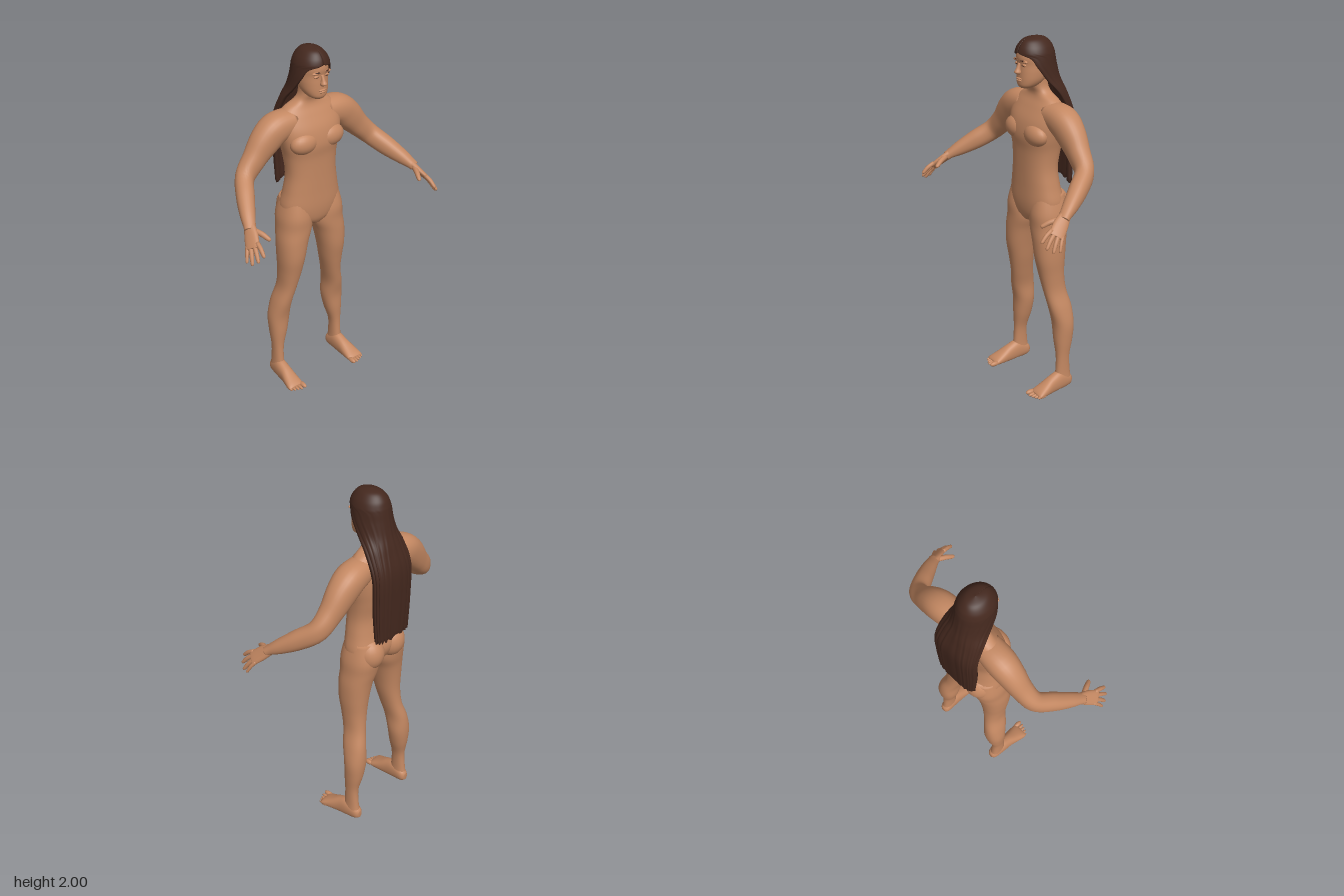
import * as THREE from 'three';

const skin = new THREE.MeshStandardMaterial({ color: 0xc48862, name: 'skin' });
const hairBrown = new THREE.MeshStandardMaterial({ color: 0x44281e, name: 'hair brown' });
const V = (x, y, z) => new THREE.Vector3(x, y, z);
const DOWN = V(0, -1, 0), X = V(1, 0, 0);
const pow = (v, p) => Math.sign(v) * Math.abs(v) ** p;
const mirror = (s, rows) => rows.map(([x, ...rest]) => [s * x, ...rest]);

function group(name, parts) {
  const g = new THREE.Group().add(...parts);
  g.name = name;
  return g;
}

// Smoothly resample rows of numbers
function resample(rows, steps) {
  const out = [], last = rows.length - 1;
  const spline = (a, b, c, d, t) => {
    const cubic = 3 * (b - c) + d - a;
    const square = 2 * a - 5 * b + 4 * c - d;
    return b + 0.5 * t * (c - a + t * (square + t * cubic));
  };
  for (let i = 0; i < last; i++) {
    const before = rows[Math.max(i - 1, 0)], after = rows[Math.min(i + 2, last)];
    for (let k = 0; k < steps; k++) {
      out.push(rows[i].map((b, j) => spline(before[j], b, rows[i + 1][j], after[j], k / steps)));
    }
  }
  return [...out, rows[last]];
}

// Join closed rings of points into one smooth skin
function surface(name, rings, material) {
  const n = rings[0].length, index = [];
  for (let i = 0; i + 1 < rings.length; i++) {
    for (let j = 0; j < n; j++) {
      const a = i * n + j, b = i * n + (j + 1) % n;
      index.push(a, b, a + n, b, b + n, a + n);
    }
  }
  const g = new THREE.BufferGeometry().setFromPoints(rings.flat());
  g.setIndex(index);
  g.computeVertexNormals();
  const mesh = new THREE.Mesh(g, material);
  mesh.name = name;
  return mesh;
}

// Rows are [x, y, z, radius along hint, other radius]
function loft(name, rows, hint, { dir = null, n = 28, steps = 5, p = 0.9, floor = -1 } = {}) {
  const list = resample(rows, steps);
  const c = list.map(r => V(r[0], r[1], r[2])), last = c.length - 1;
  const rings = list.map((r, i) => {
    const t = dir ?? c[Math.min(i + 1, last)].clone().sub(c[Math.max(i - 1, 0)]).normalize();
    const u = hint.clone().addScaledVector(t, -hint.dot(t)).normalize();
    const v = t.clone().cross(u);
    return Array.from({ length: n }, (_, j) => {
      const a = j / n * Math.PI * 2;
      const q = c[i].clone().addScaledVector(u, Math.max(r[3], 0) * pow(Math.cos(a), p));
      q.addScaledVector(v, Math.max(r[4], 0) * pow(Math.sin(a), p));
      q.y = Math.max(q.y, floor);
      return q;
    });
  });
  const cap = k => Array.from({ length: n }, () => c[k].clone());
  return surface(name, [cap(0), ...rings, cap(last)], skin);
}

function blob(name, pos, radii, material = skin, turn = 0) {
  const mesh = new THREE.Mesh(new THREE.SphereGeometry(1, 24, 16), material);
  mesh.position.set(...pos);
  mesh.scale.set(...radii);
  mesh.rotation.y = turn;
  mesh.name = name;
  return mesh;
}

// Upright section from [y, half width, front z, back z]
const upright = ([y, w, f, b]) => [0, y, (f + b) / 2, w, (f - b) / 2];

function buildTorso() {
  const parts = [loft('trunk', [
    [1.80, .055, -.05, -.15], [1.74, .057, -.06, -.155], [1.705, .08, -.07, -.165],
    [1.675, .14, -.065, -.18], [1.63, .185, -.04, -.2], [1.56, .19, -.005, -.21],
    [1.48, .175, .01, -.21], [1.4, .157, .002, -.2], [1.3, .15, 0, -.185],
    [1.2, .165, 0, -.195], [1.1, .182, 0, -.215], [1.03, .14, -.01, -.19], [.99, .04, -.03, -.15],
  ].map(upright), X, { dir: DOWN, n: 40, p: .85 })];
  for (const s of [1, -1]) {
    parts.push(blob('chestMuscle', [s * .085, 1.495, -.035], [.085, .062, .053]));
    parts.push(blob('buttock', [s * .085, 1.085, -.155], [.083, .095, .083]));
  }
  return group('torso', parts);
}

function buildHead() {
  const parts = [loft('skull', [
    [1.985, .03, -.04, -.14], [1.95, .068, 0, -.17], [1.9, .077, .014, -.185],
    [1.86, .077, .01, -.185], [1.82, .076, .012, -.17], [1.78, .069, .013, -.14],
    [1.75, .052, .011, -.1], [1.735, .03, 0, -.07],
  ].map(upright), X, { dir: DOWN, n: 36 }), loft('nose', [
    [0, 1.868, .008, .008, .008], [0, 1.84, .016, .011, .014],
    [0, 1.822, .02, .017, .02], [0, 1.812, .015, .013, .012],
  ], X, { dir: DOWN, n: 16 })];
  parts.push(blob('upperLip', [0, 1.787, .013], [.024, .005, .008]));
  parts.push(blob('lowerLip', [0, 1.776, .012], [.021, .006, .008]));
  for (const s of [1, -1]) {
    parts.push(blob('browRidge', [s * .033, 1.88, .003], [.026, .008, .012]));
    parts.push(blob('eyebrow', [s * .034, 1.884, .0105], [.019, .003, .0045], hairBrown, s * .35));
    parts.push(blob('eyelid', [s * .032, 1.86, .002], [.016, .008, .008]));
    parts.push(blob('eyeLine', [s * .032, 1.859, .007], [.012, .002, .0045], hairBrown, s * .3));
  }
  return group('head', parts);
}

function buildArm(s) {
  const parts = [loft('armLimb', mirror(s, [
    [.1, 1.6, -.12, .07, .075], [.2, 1.583, -.125, .083, .08], [.27, 1.53, -.125, .083, .072],
    [.345, 1.45, -.12, .066, .058], [.42, 1.375, -.1, .057, .05], [.475, 1.315, -.02, .053, .048],
    [.52, 1.265, .06, .04, .04], [.545, 1.235, .11, .027, .032], [.555, 1.22, .13, .024, .03],
  ]), V(0, 1, 0))];
  const spread = V(s * .52, -.47, -.71);
  parts.push(loft('palm', mirror(s, [
    [.54, 1.242, .1, .026, .022], [.563, 1.205, .148, .039, .018],
    [.59, 1.165, .195, .04, .013], [.594, 1.159, .202, .034, .009],
  ]), spread, { n: 20 }));
  // Index to little finger, then thumb
  const tips = [[.578, 1.138, .28], [.605, 1.11, .267], [.624, 1.09, .24], [.635, 1.092, .207]];
  const digits = tips.map((tip, i) => {
    const k = -.031 + i * .0205;
    return ['finger', [.585 + .52 * k, 1.173 - .47 * k, .187 - .71 * k], tip, i === 3 ? .0085 : .0105];
  });
  digits.push(['thumb', [.545, 1.222, .14], [.503, 1.188, .232], .013]);
  for (const [name, a, b, r] of digits) {
    const rows = [[0, 1.15], [.5, 1.1], [.85, .9], [.96, .6], [1, .15]]
      .map(([t, k]) => [...a.map((v, j) => v + (b[j] - v) * t), r * k, r * k]);
    rows[1][1] += .006;
    parts.push(loft(name, mirror(s, rows), spread, { n: 10, steps: 3, p: 1 }));
  }
  return group(s > 0 ? 'leftArm' : 'rightArm', parts);
}

function buildLeg(s) {
  const parts = [loft('legLimb', mirror(s, [
    [.1, 1.16, -.11, .07, .085], [.105, 1.06, -.11, .091, .106], [.107, .98, -.106, .096, .101],
    [.126, .9, -.098, .086, .093], [.138, .8, -.095, .074, .085], [.145, .7, -.102, .061, .073],
    [.158, .6, -.116, .05, .067], [.182, .5, -.136, .053, .068], [.192, .4, -.15, .061, .06],
    [.2, .3, -.147, .05, .053], [.21, .2, -.14, .032, .04], [.212, .1, -.14, .029, .045],
    [.212, .04, -.14, .033, .055],
  ]), X, { dir: DOWN }), loft('foot', mirror(s, [
    [.21, .03, -.2, .014, .02], [.21, .035, -.18, .03, .038], [.213, .045, -.12, .036, .06],
    [.215, .035, -.06, .038, .053], [.219, .022, -.005, .045, .037],
    [.222, .014, .04, .049, .02], [.222, .01, .055, .044, .011],
  ]), X, { dir: V(0, 0, 1), floor: 0 })];
  // Big toe to little toe
  const toes = [[.184, .062, .014], [.207, .06, .0095], [.226, .053, .009], [.244, .045, .009], [.261, .035, .0085]];
  for (const [x, z, r] of toes) parts.push(blob('toe', [s * x, r, z], [r, r, .03]));
  return group(s > 0 ? 'leftLeg' : 'rightLeg', parts);
}

// Long hair: a thin shell open at the face; rows are [y, half width, centre z, depth, half angle, squareness]
function buildHair() {
  const rows = resample([
    [2.0, 0, -.09, 0, Math.PI, 1], [1.987, .045, -.085, .06, Math.PI, 1],
    [1.957, .075, -.085, .092, Math.PI, 1], [1.925, .091, -.085, .106, Math.PI, 1],
    [1.9, .096, -.088, .109, 2.35, 1], [1.85, .102, -.092, .114, 2.02, 1],
    [1.78, .11, -.115, .106, 1.75, .95], [1.7, .128, -.165, .08, 1.6, .8],
    [1.58, .138, -.212, .063, 1.57, .65], [1.4, .136, -.215, .06, 1.57, .6],
    [1.2, .125, -.222, .045, 1.57, .6],
  ], 6);
  const n = 72;
  const ring = ([y, w, zc, d, phi, p], outer, inner) => {
    const strand = THREE.MathUtils.clamp((1.95 - y) / .3, 0, 1);
    const hem = THREE.MathUtils.clamp((1.3 - y) / .1, 0, 1);
    const point = (j, k) => {
      const f = j / n * 2 - 1, a = f * Math.min(phi, Math.PI);
      const m = k * (1 + strand * (.018 * Math.cos(f * 40) + .012 * Math.cos(f * 67 + 1)));
      return V(w * m * pow(Math.sin(a), p), y + hem * .008 * Math.cos(f * 31), zc - d * m * pow(Math.cos(a), p));
    };
    const arc = k => Array.from({ length: n + 1 }, (_, j) => point(j, k));
    return [...arc(outer), ...arc(inner).reverse()];
  };
  const hem = ring(rows[rows.length - 1], .935, .935);
  return surface('longHair', [...rows.map(r => ring(r, 1, .87)), hem], hairBrown);
}

export function createModel() {
  const limbs = [1, -1].flatMap(s => [buildArm(s), buildLeg(s)]);
  return group('standingFigure', [buildTorso(), buildHead(), buildHair(), ...limbs]);
}
